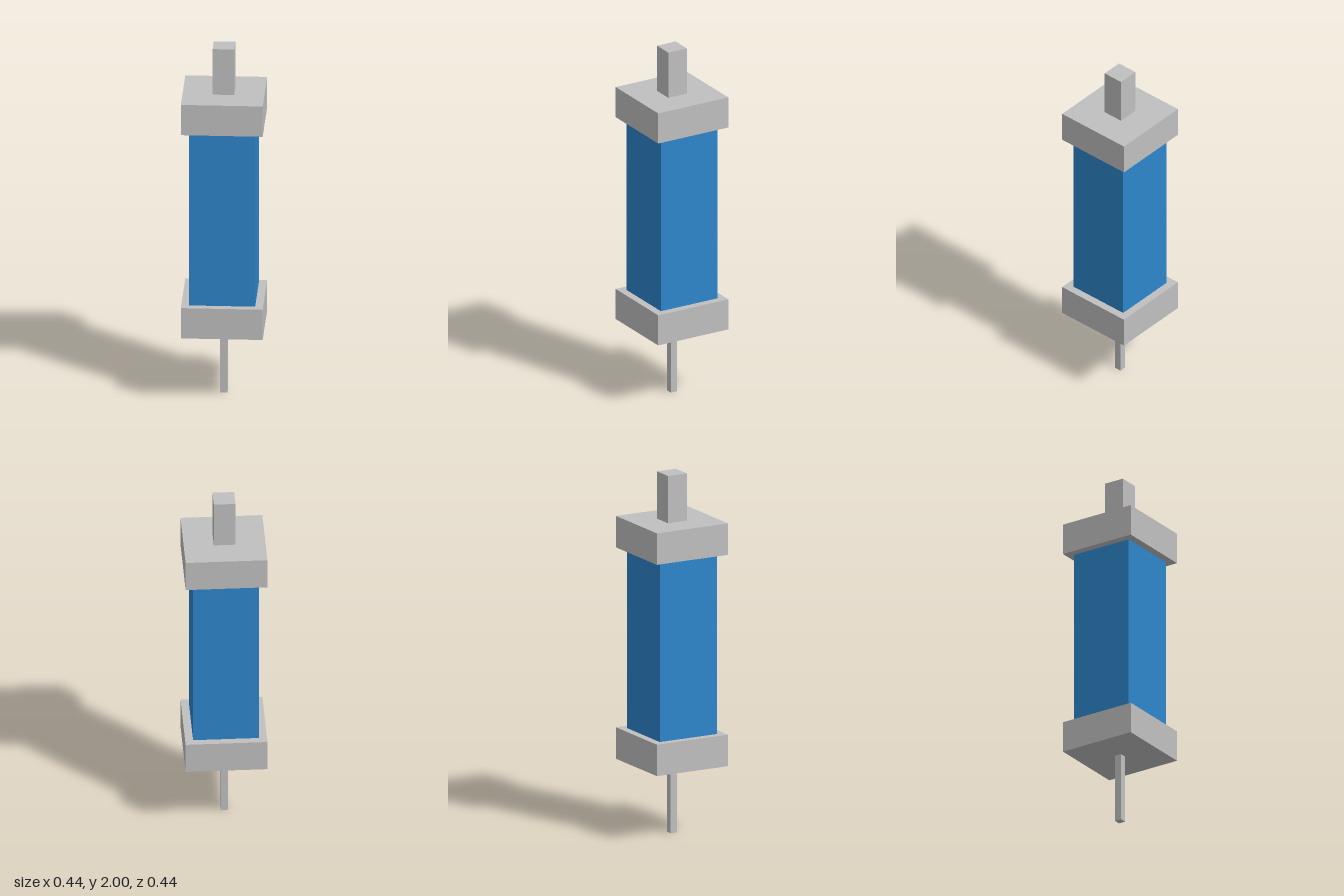
import * as THREE from 'three';

export function createModel() {
  const group = new THREE.Group();
  const grey = new THREE.MeshStandardMaterial({ color: 0xc0c0c0 });
  grey.name = 'light grey';
  const blue = new THREE.MeshStandardMaterial({ color: 0x2d86cc });
  blue.name = 'blue';

  // Square block spanning two heights
  function block(name, width, bottom, top, material) {
    const mesh = new THREE.Mesh(new THREE.BoxGeometry(width, top - bottom, width), material);
    mesh.name = name;
    mesh.position.y = (bottom + top) / 2;
    group.add(mesh);
  }

  block('lowerRod', 0.039, 0, 0.387, grey);
  block('lowerCap', 0.442, 0.387, 0.562, grey);
  block('body', 0.356, 0.562, 1.562, blue);
  block('upperCap', 0.442, 1.562, 1.737, grey);
  block('upperStem', 0.117, 1.737, 2, grey);

  return group;
}
